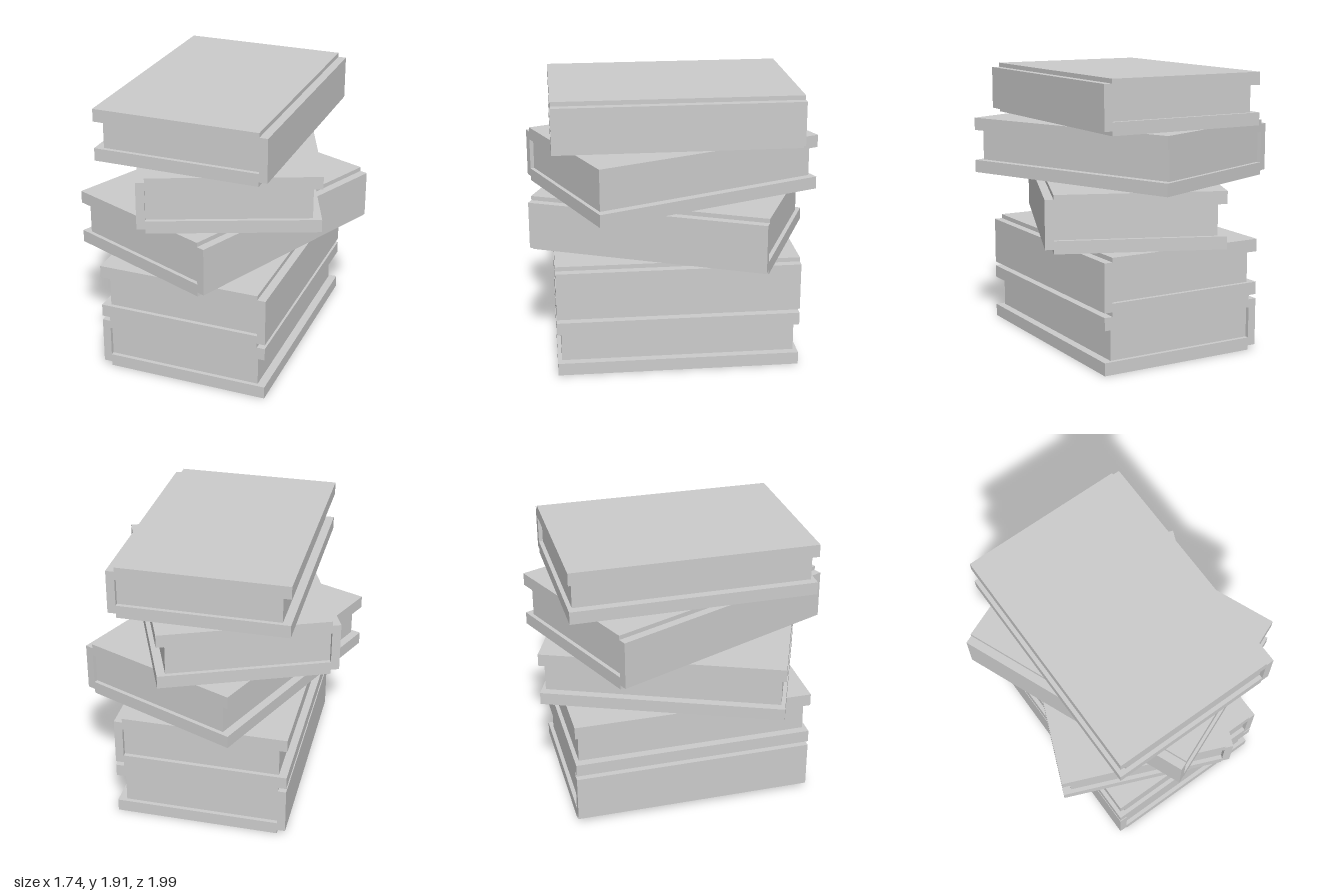
import * as THREE from 'three';

const material = new THREE.MeshStandardMaterial({ color: 0xcccccc, flatShading: true });

const HALF_W = 0.595; // half width, spine to fore-edge
const DEPTH = 1.666;  // length along the spine
const SPINE = 0.057;  // spine thickness
const COVER = 0.087;  // cover thickness
const STEP = 0.03;    // spine is set in from the covers' outer faces
const INSET = 0.028;  // pages set back from the cover ends

// One closed book, spine on -x, standing on y = 0
function createBook(height) {
  const book = new THREE.Group();
  const inner = -HALF_W + SPINE;

  // Covers and spine as one C-shaped section
  const section = new THREE.Shape([
    [inner, 0], [HALF_W, 0], [HALF_W, COVER], [inner, COVER],
    [inner, height - COVER], [HALF_W, height - COVER], [HALF_W, height], [inner, height],
    [inner, height - STEP], [-HALF_W, height - STEP], [-HALF_W, STEP], [inner, STEP],
  ].map(([x, y]) => new THREE.Vector2(x, y)));
  const coverGeometry = new THREE.ExtrudeGeometry(section, { depth: DEPTH, bevelEnabled: false });
  coverGeometry.translate(0, 0, -DEPTH / 2);
  const cover = new THREE.Mesh(coverGeometry, material);
  cover.name = 'cover';

  // Page block, recessed on its three open sides
  const pageWidth = 2 * (HALF_W - SPINE);
  const pages = new THREE.Mesh(
    new THREE.BoxGeometry(pageWidth, height - 2 * COVER, DEPTH - 2 * INSET), material);
  pages.position.y = height / 2;
  pages.name = 'pages';

  book.add(cover, pages);
  return book;
}

export function createModel() {
  const model = new THREE.Group();
  model.name = 'bookStack';

  // Bottom to top: height, side of the spine, twist in degrees
  const books = [
    { height: 0.388, spine: -1, twist: 0 },
    { height: 0.388, spine: 1, twist: 0 },
    { height: 0.388, spine: 1, twist: -22.5 },
    { height: 0.388, spine: -1, twist: 22.5 },
    { height: 0.358, spine: 1, twist: 0 },
  ];
  let y = 0;
  books.forEach(({ height, spine, twist }, i) => {
    const book = createBook(height);
    book.name = `book${i + 1}`;
    book.position.y = y;
    book.rotation.y = THREE.MathUtils.degToRad(twist) + (spine > 0 ? Math.PI : 0);
    model.add(book);
    y += height;
  });
  return model;
}
